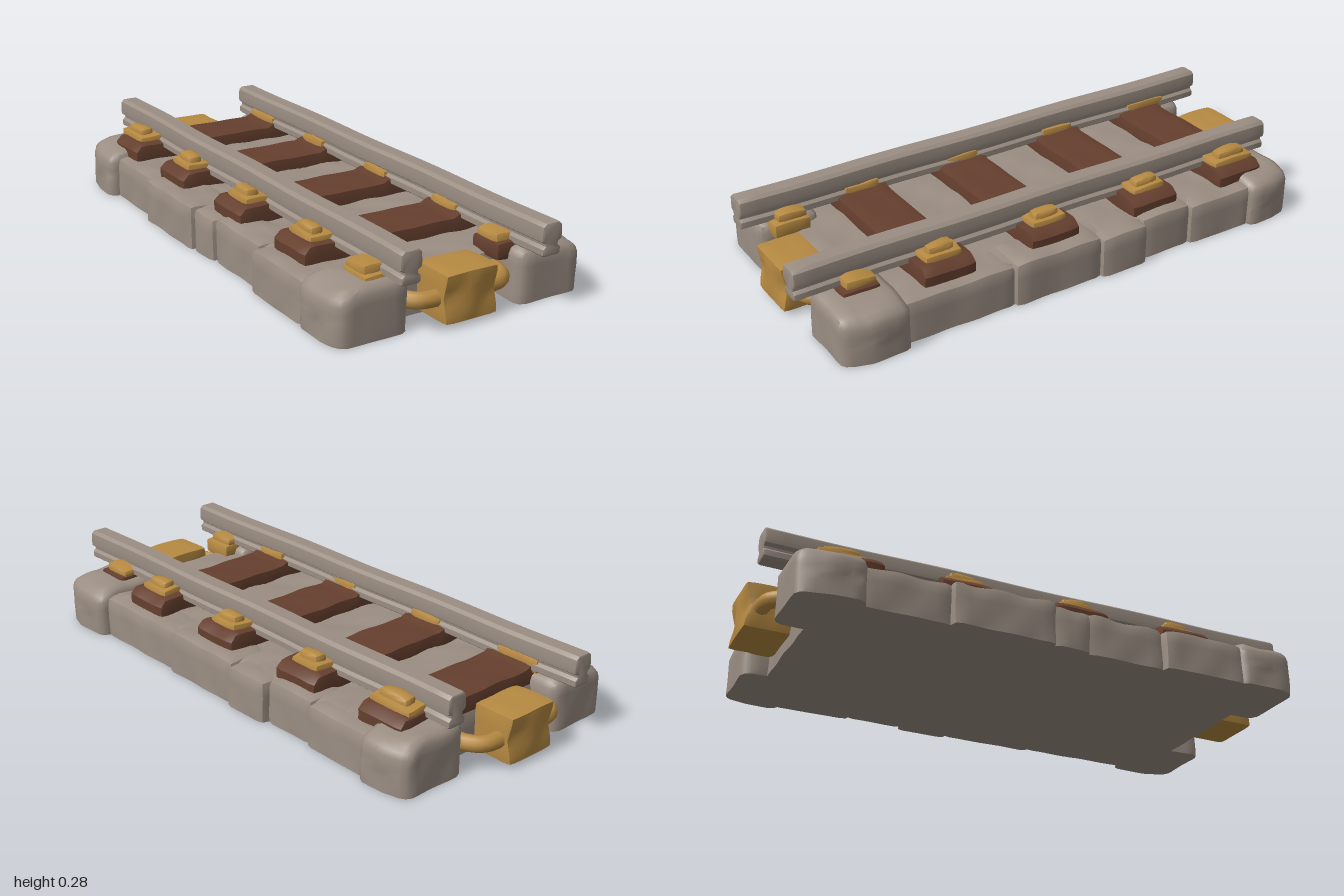
import * as THREE from 'three';
import { mergeVertices, toCreasedNormals } from 'three/addons/utils/BufferGeometryUtils.js';

const mat = (name, color) => {
  const m = new THREE.MeshStandardMaterial({ color });
  m.name = name;
  return m;
};

// smooth repeatable unevenness, about -1..1
const bump = (x, y, z) =>
  Math.sin(x * 19 + z * 11 + 1) * Math.cos(z * 23 - x * 7 + y * 9) * 0.6 + Math.sin(x * 41 - z * 37 + y * 29) * 0.4;

// rounded, slightly uneven block between two corners; warp may move each vertex further
function lump(min, max, r, rough = 0, warp) {
  const lo = new THREE.Vector3(...min), hi = new THREE.Vector3(...max);
  const size = hi.clone().sub(lo), mid = hi.clone().add(lo).multiplyScalar(0.5);
  const n = (s) => Math.max(4, Math.min(40, Math.round(s / 0.028)));
  let g = new THREE.BoxGeometry(size.x, size.y, size.z, n(size.x), n(size.y), n(size.z));
  g.deleteAttribute('normal');
  g.deleteAttribute('uv');
  g = mergeVertices(g);
  const inner = size.clone().multiplyScalar(0.5).subScalar(r);
  const p = new THREE.Vector3(), c = new THREE.Vector3();
  const pos = g.attributes.position;
  for (let i = 0; i < pos.count; i++) {
    p.fromBufferAttribute(pos, i);
    c.copy(p).clamp(inner.clone().negate(), inner);
    p.sub(c).setLength(r).add(c).add(mid);
    const b = bump(p.x, p.y, p.z) * rough;
    p.x += b * Math.sign(p.x - mid.x) * 0.6;
    p.y += b * (p.y > mid.y ? 1 : 0);
    p.z += b * 0.5;
    if (warp) warp(p, mid, size);
    p.y = Math.max(p.y, 0);
    pos.setXYZ(i, p.x, p.y, p.z);
  }
  return toCreasedNormals(g, 0.75);
}

export function createModel() {
  const stone = mat('grey stone', 0x9b8e83);
  const wood = mat('brown wood', 0x653f2e);
  const brass = mat('brass', 0xb78a42);

  const model = new THREE.Group();
  const track = new THREE.Group();
  track.name = 'track';
  track.rotation.y = -0.197;
  model.add(track);
  const add = (name, geo, material) => {
    const m = new THREE.Mesh(geo, material);
    m.name = name;
    track.add(m);
    return m;
  };

  // uneven stone bed
  add('bed', lump([-0.4, -0.03, -0.8], [0.4, 0.145, 0.77], 0.02, 0.007), stone);

  // edge stones along both sides
  const cuts = { '1': [-0.71, -0.44, -0.24, -0.06, 0.27, 0.68], '-1': [-0.71, -0.4, -0.05, 0.08, 0.36, 0.66] };
  for (const side of [-1, 1]) {
    const c = cuts[side];
    for (let i = 0; i < c.length - 1; i++) {
      const out = 0.422 + 0.012 * ((i * 2 + (side > 0 ? 1 : 0)) % 3), top = 0.145 + 0.006 * (i % 2);
      const x = [side * 0.27, side * out].sort((a, b) => a - b);
      add('edgeStone', lump([x[0], -0.04, c[i] - 0.004], [x[1], top, c[i + 1] + 0.004], 0.022, 0.005), stone);
    }
  }

  // taller corner stones with sloping outer shoulders
  const slope = (p, mid, size) => {
    const out = Math.max(0, (Math.abs(p.x) - 0.36) / 0.09);
    if (p.y > mid.y) p.y -= 0.022 * out;
    const end = Math.max(0, (Math.abs(p.z) - 0.8) / 0.08);
    p.x -= Math.sign(p.x) * 0.02 * out * end;
  };
  for (const [sx, z0, z1] of [[-1, -0.9, -0.68], [1, -0.88, -0.69], [-1, 0.65, 0.865], [1, 0.66, 0.89]]) {
    const x = [sx * 0.195, sx * 0.455].sort((a, b) => a - b);
    add('cornerStone', lump([x[0], -0.04, z0], [x[1], 0.175, z1], 0.032, 0.005, slope), stone);
  }

  // rails: wide head, narrow neck, flat foot
  const half = [[0.026, 0.178], [0.034, 0.184], [0.034, 0.203], [0.024, 0.212], [0.025, 0.22],
    [0.037, 0.228], [0.039, 0.245], [0.036, 0.275], [0.024, 0.285]];
  const profile = new THREE.Shape([...half, ...half.map(([x, y]) => [-x, y]).reverse()]
    .map(([x, y]) => new THREE.Vector2(x, y)));
  for (const [name, x, z0, z1] of [['rightRail', -0.237, -0.965, 0.925], ['leftRail', 0.244, -0.89, 0.965]]) {
    const g = new THREE.ExtrudeGeometry(profile, {
      depth: z1 - z0 - 0.016, steps: 30, bevelEnabled: true,
      bevelThickness: 0.008, bevelSize: 0.006, bevelOffset: -0.006, bevelSegments: 2,
    });
    g.translate(x, 0, z0 + 0.008);
    const p = g.attributes.position;
    for (let i = 0; i < p.count; i++) p.setX(i, p.getX(i) + 0.003 * Math.sin(p.getZ(i) * 9 + x * 20));
    add(name, toCreasedNormals(g, 0.6), stone);
  }

  // wooden ties with brass clips beside each rail
  const ties = [-0.7, -0.322, 0.086, 0.482];
  ties.forEach((z, i) => {
    const taper = (p) => {
      if (p.y > 0.18) p.x -= Math.sign(p.x) * 0.02 * Math.max(0, (Math.abs(p.x) - 0.3) / 0.08);
      if (Math.abs(p.x) < 0.2) p.y -= 0.012;
    };
    add('tie', lump([-0.38, 0.1, z - 0.095], [0.38, 0.203, z + 0.095], 0.014, 0.003, taper), wood);
    for (const s of [-1, 1]) {
      const cz = z - (i === 0 && s < 0 ? 0.03 : 0);
      const w = i === 0 ? 0.085 : 0.066;
      const x = [s * 0.2, s * 0.342].sort((a, b) => a - b);
      add('clip', lump([x[0], 0.17, cz - w], [x[1], 0.222, cz + w], 0.012, 0.006), brass);
      add('clipKnob', lump([s * 0.302 - 0.024, 0.19, cz - w * 0.7], [s * 0.302 + 0.024, 0.243, cz + w * 0.7], 0.014, 0.005), brass);
    }
  });

  // short seats under the front ends of the rails
  for (const s of [-1, 1]) {
    const x = s * 0.243;
    add('frontSeat', lump([x - 0.09, 0.13, 0.7], [x + 0.09, 0.188, 0.83], 0.012, 0.004), s < 0 ? brass : wood);
    add('frontClip', lump([x - 0.08, 0.165, 0.705], [x + 0.075, 0.212, 0.81], 0.014, 0.008), brass);
  }

  // brass coupling at each end: dented block on a curved bar
  for (const s of [-1, 1]) {
    const z = s < 0 ? -0.89 : 0.845, x = -0.012;
    const dent = (p, mid, size) => {
      const u = Math.abs(p.x - mid.x) / size.x * 2, v = Math.abs(p.y - mid.y) / size.y * 2;
      if ((p.z - mid.z) * s > size.z * 0.4) p.z -= s * 0.02 * Math.max(0, Math.min(1 - v, u * 1.3) - 0.15);
    };
    add('couplingBlock', lump([x - 0.097, 0.015, z - 0.078], [x + 0.097, 0.176, z + 0.078], 0.012, 0.002, dent), brass);
    const bar = new THREE.CatmullRomCurve3([[-0.19, -0.09], [-0.185, -0.03], [-0.15, 0.015], [-0.08, 0.025],
      [0.08, 0.025], [0.15, 0.015], [0.185, -0.03], [0.19, -0.09]]
      .map(([bx, bz]) => new THREE.Vector3(x + bx, 0.09, z + s * bz)));
    add('couplingBar', new THREE.TubeGeometry(bar, 40, 0.027, 10), brass);
  }
  return model;
}
